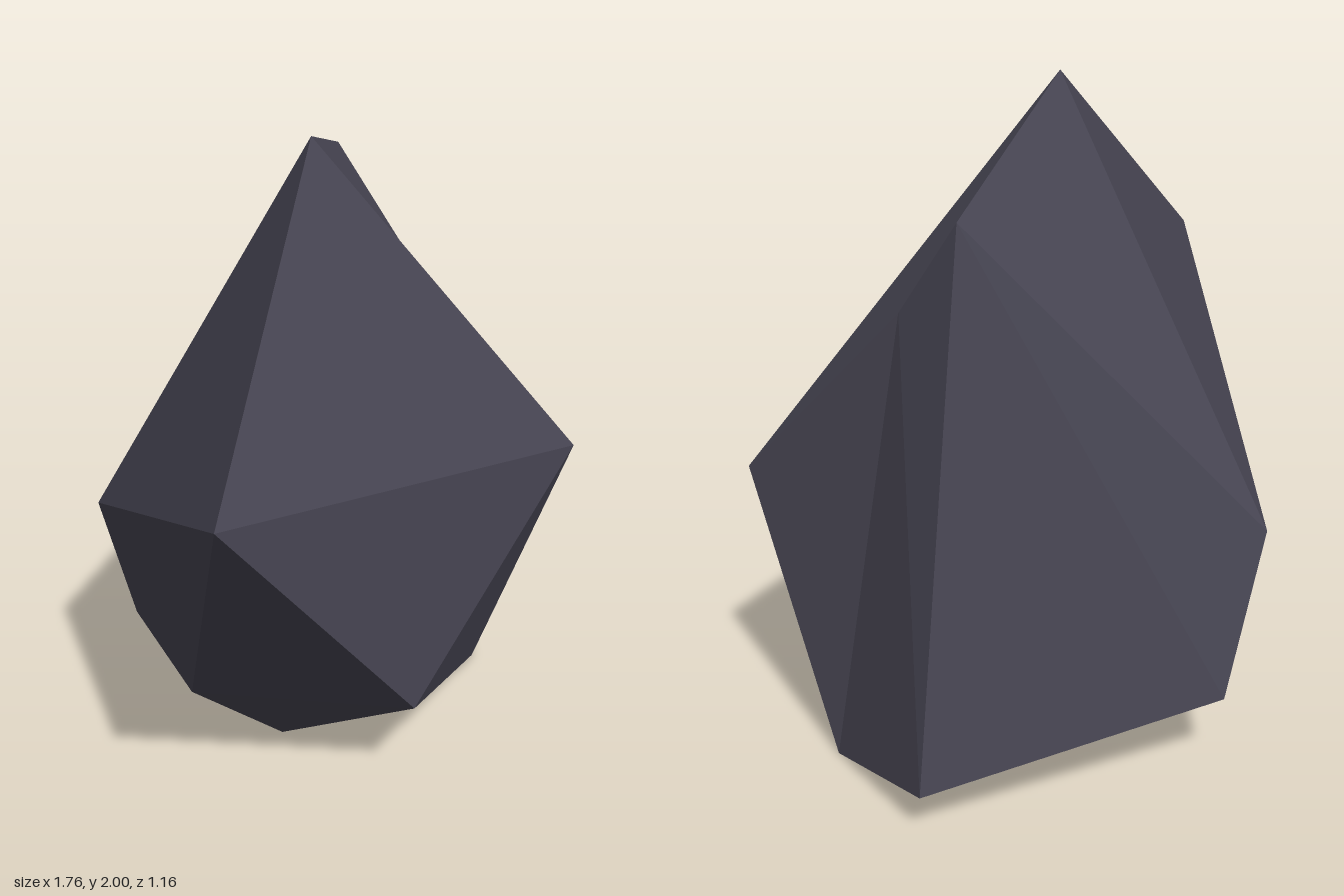
import * as THREE from 'three';

export function createModel() {
  const group = new THREE.Group();
  group.name = 'rock';
  const stone = new THREE.MeshStandardMaterial({ color: 0x4a4856, flatShading: true });
  stone.name = 'darkStone';

  // A distorted icosahedron: a pole on each side and two rings of five corners
  const leftPole = [0.7, 1.48, -0.1];
  const rightPole = [-0.42, 0.38, 0.03];
  const leftRing = [
    [0, 2, 0.12], [0.88, 0.88, 0.49], [0.8, 0, 0.2], [0.84, 0.15, -0.33], [0.66, 1.77, -0.33],
  ];
  const rightRing = [
    [-0.88, 1.3, 0.58], [0, 0.34, 0.545], [0, 0.01, 0.02], [-0.06, 0.25, -0.585], [-0.23, 0.74, -0.56],
  ];

  // Fan around each pole, zigzag band between the rings
  const corners = [];
  for (let i = 0; i < 5; i++) {
    const j = (i + 1) % 5;
    corners.push(
      leftPole, leftRing[i], leftRing[j],
      leftRing[j], leftRing[i], rightRing[i],
      rightRing[i], rightRing[j], leftRing[j],
      rightRing[j], rightRing[i], rightPole,
    );
  }
  const geometry = new THREE.BufferGeometry();
  geometry.setAttribute('position', new THREE.Float32BufferAttribute(corners.flat(), 3));
  geometry.computeVertexNormals();

  const boulder = new THREE.Mesh(geometry, stone);
  boulder.name = 'boulder';
  group.add(boulder);
  return group;
}
